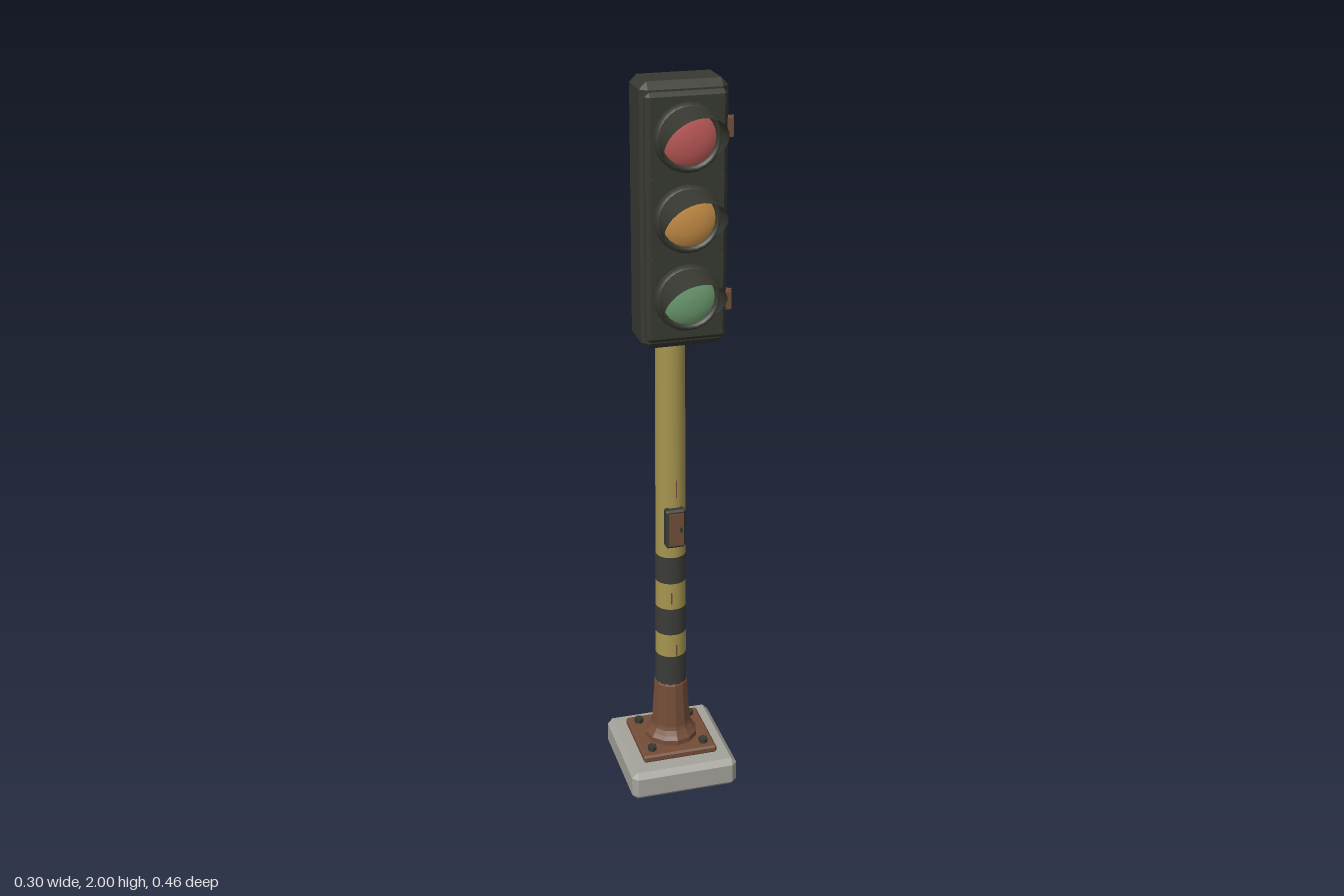
import * as THREE from 'three';
import { ConvexGeometry } from 'three/addons/geometries/ConvexGeometry.js';

const mat = (name, color, opts = {}) => {
  const m = new THREE.MeshStandardMaterial({ color, ...opts });
  m.name = name;
  return m;
};

// Box with every edge chamfered by c
function chamferBox(w, h, d, c) {
  const pts = [];
  for (const x of [-1, 1]) for (const y of [-1, 1]) for (const z of [-1, 1]) {
    const [a, b, e] = [w / 2, h / 2, d / 2];
    pts.push(
      new THREE.Vector3(x * a, y * (b - c), z * (e - c)),
      new THREE.Vector3(x * (a - c), y * b, z * (e - c)),
      new THREE.Vector3(x * (a - c), y * (b - c), z * e));
  }
  return new ConvexGeometry(pts);
}

// Half-open hood: an arc swept forward, longest at the crown and fading down the sides
function visorGeometry() {
  const R = 0.078, LEN = 0.126, MAX = THREE.MathUtils.degToRad(128), N = 20, M = 4;
  const pos = [], idx = [];
  for (let i = 0; i <= N; i++) {
    const t = (i / N) * 2 - 1, a = t * MAX;
    for (let j = 0; j <= M; j++) {
      const s = j / M, r = R - 0.002 * s;
      pos.push(Math.sin(a) * r, Math.cos(a) * r, s * LEN * (1 - t * t));
      if (i < N && j < M) {
        const p = i * (M + 1) + j, q = p + M + 1;
        idx.push(p, p + 1, q, q, p + 1, q + 1);
      }
    }
  }
  const g = new THREE.BufferGeometry();
  g.setAttribute('position', new THREE.Float32BufferAttribute(pos, 3));
  g.setIndex(idx);
  g.computeVertexNormals();
  return g;
}

export function createModel() {
  const root = new THREE.Group();
  root.name = 'trafficSignal';
  const concrete = mat('concrete', 0xa3a29b, { flatShading: true });
  const rust = mat('rust', 0x744d38, { flatShading: true });
  const yellow = mat('agedYellow', 0xa6954f);
  const stripe = mat('stripeBlack', 0x3b3c38);
  const dark = mat('housingDark', 0x373931, { flatShading: true });
  const hood = mat('hoodDark', 0x373931, { side: THREE.DoubleSide });
  const red = mat('redLens', 0xbf5b59);
  const amber = mat('amberLens', 0xcb9148);
  const green = mat('greenLens', 0x6f9f73);

  const add = (name, geo, material, x = 0, y = 0, z = 0, parent = root) => {
    const m = new THREE.Mesh(geo, material);
    m.name = name;
    m.position.set(x, y, z);
    parent.add(m);
    return m;
  };
  const PZ = -0.071; // pole axis

  // Footing, base plate and bolts
  add('footing', chamferBox(0.304, 0.085, 0.318, 0.015), concrete, 0, 0.0425, PZ);
  add('basePlate', chamferBox(0.212, 0.022, 0.212, 0.005), rust, 0, 0.096, PZ);
  for (const x of [-0.075, 0.075]) for (const z of [-0.074, 0.074])
    add('anchorBolt', new THREE.CylinderGeometry(0.013, 0.013, 0.014, 6), dark, x, 0.113, PZ + z);

  // Flared collar around the foot of the pole
  const collar = [[0.074, 0.105], [0.074, 0.122], [0.066, 0.132], [0.058, 0.145],
    [0.055, 0.155], [0.047, 0.285], [0.043, 0.294]].map(p => new THREE.Vector2(...p));
  add('collar', new THREE.LatheGeometry(collar, 12), rust, 0, 0, PZ);

  // Tapered pole cut into painted bands
  const poleR = y => 0.043 - 0.0065 * (y - 0.29) / 1.58;
  const cuts = [0.28, 0.38, 0.45, 0.53, 0.61, 0.69, 1.872];
  for (let i = 0; i < cuts.length - 1; i++) {
    const [a, b] = [cuts[i], cuts[i + 1]];
    const black = i % 2 === 0;
    const e = black ? 0.001 : 0;
    add(black ? 'blackBand' : 'poleSection',
      new THREE.CylinderGeometry(poleR(b) + e, poleR(a) + e, b - a, 20),
      black ? stripe : yellow, 0, (a + b) / 2, PZ);
  }
  // The last band index is odd, so the top section stays yellow
  add('poleCap', new THREE.CylinderGeometry(0.04, 0.043, 0.012, 16), rust, 0, 1.888, PZ);

  // Access box and paint scratches on the front of the pole
  add('accessBox', chamferBox(0.054, 0.112, 0.03, 0.005), dark, 0, 0.784, -0.028);
  add('accessDoor', new THREE.BoxGeometry(0.04, 0.094, 0.006), rust, 0, 0.784, -0.012);
  add('accessLatch', new THREE.BoxGeometry(0.006, 0.014, 0.006), dark, 0.013, 0.784, -0.008);
  for (const [x, y, h] of [[0.006, 0.895, 0.05], [-0.008, 0.565, 0.035], [0.006, 0.4, 0.035]])
    add('scratch', new THREE.BoxGeometry(0.003, h, 0.004), rust, x, y, PZ + poleR(y) - 0.001);

  // Clamps joining the pole to the signal head
  for (const y of [1.415, 1.875])
    add('clamp', chamferBox(0.116, 0.03, 0.085, 0.004), dark, 0, y, -0.081);

  // Signal head
  const head = new THREE.Group();
  head.name = 'signalHead';
  root.add(head);
  add('housing', chamferBox(0.22, 0.665, 0.127, 0.018), dark, 0, 1.6675, 0.0095, head);
  add('frontDoor', chamferBox(0.204, 0.62, 0.04, 0.01), dark, 0, 1.668, 0.068, head);
  for (const x of [-0.087, 0.087]) for (const y of [1.376, 1.572, 1.77, 1.96]) {
    const s = add('doorScrew', new THREE.CylinderGeometry(0.006, 0.006, 0.006, 6), dark, x, y, 0.09, head);
    s.rotation.x = Math.PI / 2;
  }

  // Hinges with pins on the left side
  for (const y of [1.452, 1.885]) {
    add('hinge', new THREE.BoxGeometry(0.014, 0.045, 0.04), rust, 0.108, y, 0.064, head);
    add('hingePin', new THREE.CylinderGeometry(0.005, 0.005, 0.052, 8), rust, 0.116, y, 0.067, head);
  }

  // Lamps: stepped bezel, domed lens and hood
  const bezel = [[0.067, 0.098], [0.07, 0.108], [0.078, 0.108], [0.083, 0.1], [0.084, 0.084]]
    .reverse().map(p => new THREE.Vector2(...p));
  const bezelGeo = new THREE.LatheGeometry(bezel, 24).rotateX(Math.PI / 2);
  const dome = [[0.069, 0], [0.058, 0.007], [0.04, 0.013], [0.02, 0.016], [0, 0.017]]
    .map(p => new THREE.Vector2(...p));
  const lensGeo = new THREE.LatheGeometry(dome, 24).rotateX(Math.PI / 2);
  const hoodGeo = visorGeometry();
  for (const [name, y, m] of [['red', 1.87, red], ['amber', 1.672, amber], ['green', 1.473, green]]) {
    const lamp = new THREE.Group();
    lamp.name = name + 'Lamp';
    lamp.position.y = y;
    head.add(lamp);
    add('bezel', bezelGeo, hood, 0, 0, 0, lamp);
    add('lens', lensGeo, m, 0, 0, 0.098, lamp);
    add('hood', hoodGeo, hood, 0, 0, 0.102, lamp);
  }
  return root;
}
